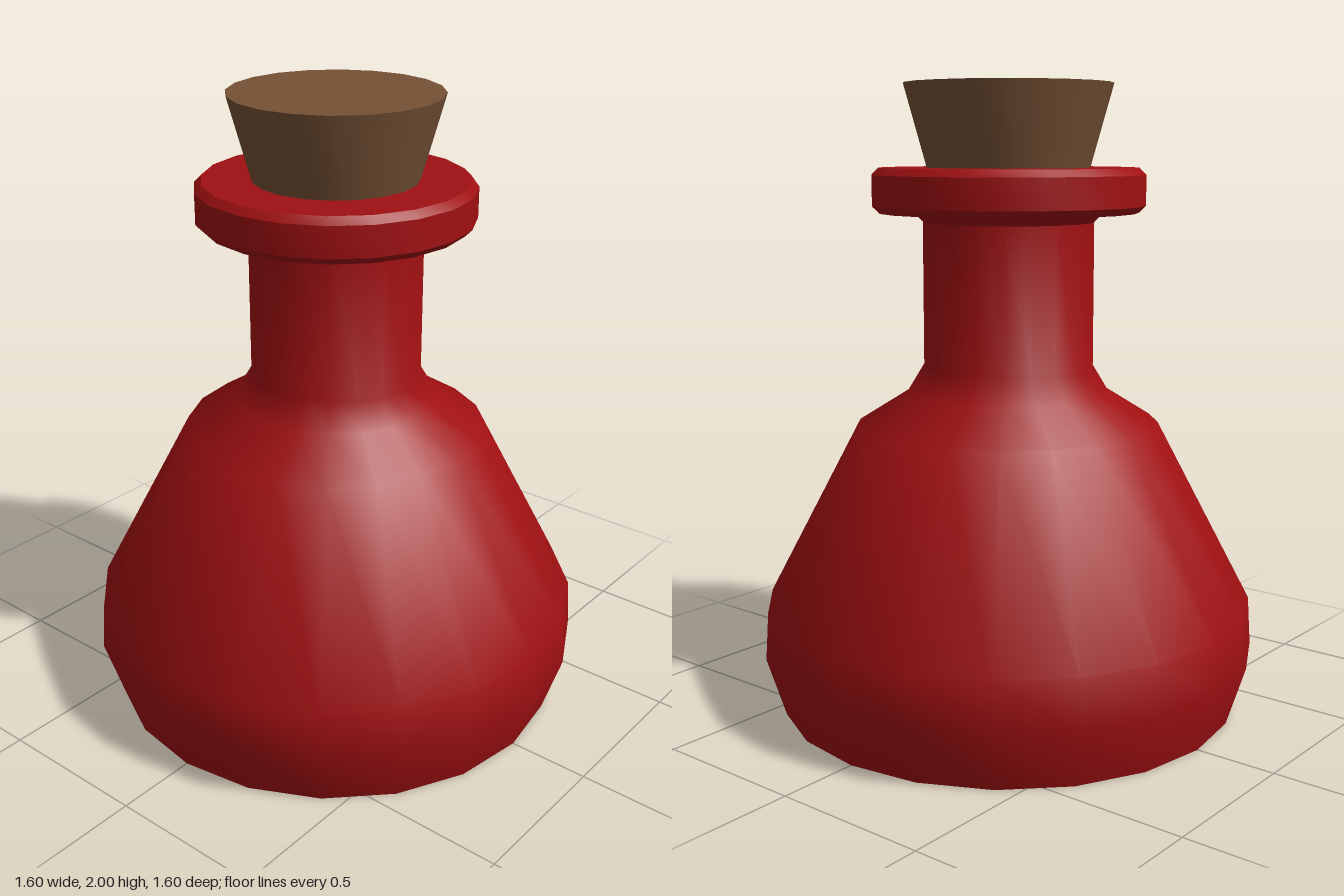
import * as THREE from 'three';
import { toCreasedNormals } from 'three/addons/utils/BufferGeometryUtils.js';

const SIDES = 20;

const redGlass = new THREE.MeshStandardMaterial({ color: 0xa01012 });
redGlass.name = 'redGlass';
const corkBrown = new THREE.MeshStandardMaterial({ color: 0x755135 });
corkBrown.name = 'corkBrown';

// Spins a [radius, height] profile, listed bottom to top, keeping hard edges sharp
function turned(name, profile, material) {
  const points = profile.map(([r, y]) => new THREE.Vector2(r, y));
  const geometry = toCreasedNormals(new THREE.LatheGeometry(points, SIDES), 0.65);
  const mesh = new THREE.Mesh(geometry, material);
  mesh.name = name;
  return mesh;
}

export function createModel() {
  const group = new THREE.Group();
  group.name = 'corkedFlask';

  // Flask: flat base, wide belly, stepped shoulder, straight neck and chamfered lip
  group.add(turned('flask', [
    [0, 0], [0.74, 0], [0.8, 0.19], [0.79, 0.345],
    [0.483, 0.93], [0.323, 1.03], [0.272, 1.115],
    [0.272, 1.57], [0.3, 1.6],
    [0.412, 1.6], [0.434, 1.622], [0.434, 1.718], [0.412, 1.74],
    [0.2, 1.74],
  ], redGlass));

  // Tapered cork stopper, sunk slightly into the mouth
  group.add(turned('cork', [
    [0, 1.7], [0.247, 1.7], [0.33, 2], [0, 2],
  ], corkBrown));

  return group;
}
